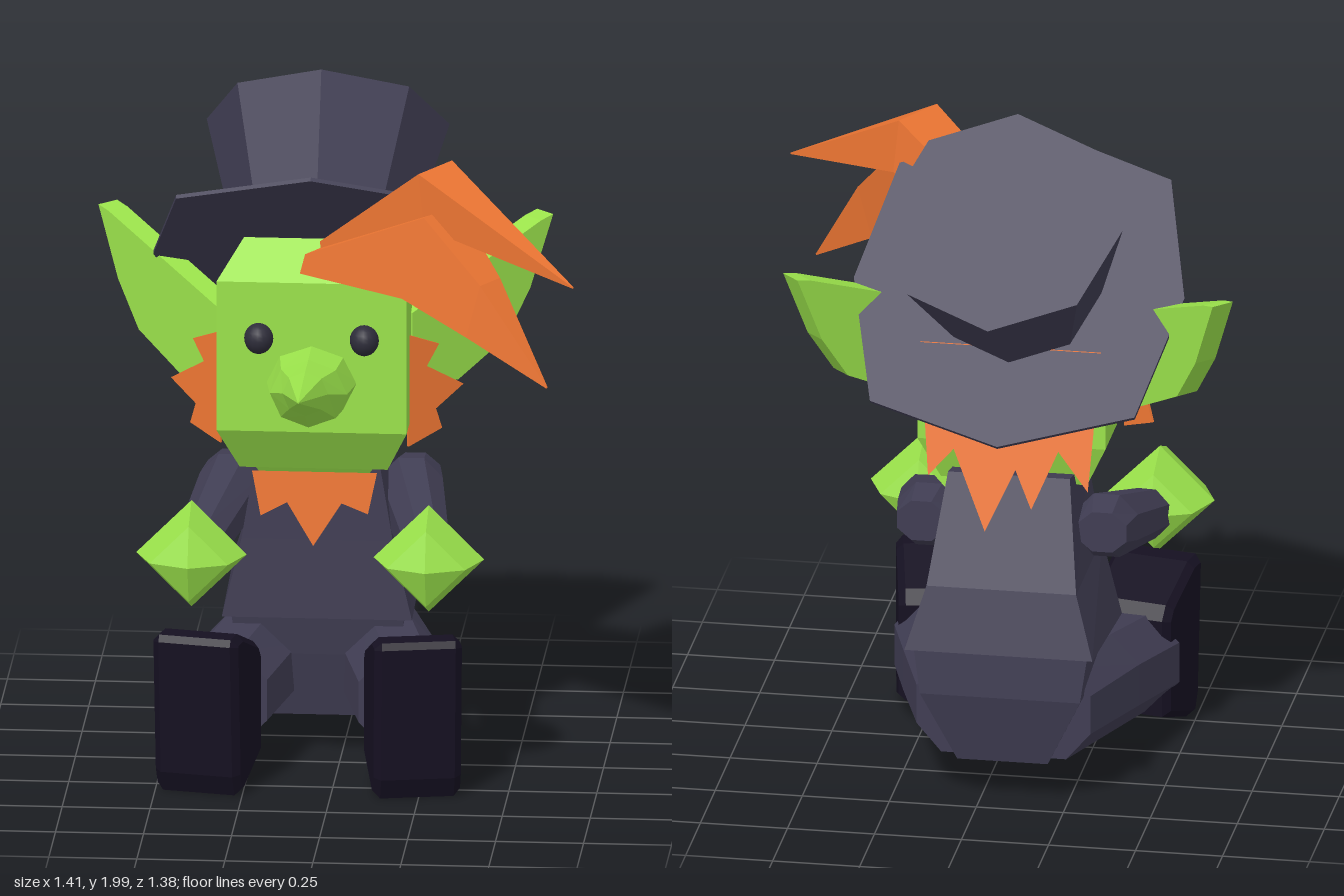
import * as THREE from 'three';

const mat = (color, side = THREE.FrontSide) => new THREE.MeshStandardMaterial({ color, side, flatShading: true });
const V = (x, y, z) => new THREE.Vector3(x, y, z);

// Skin over a list of rings that all have the same number of points, capped at both ends
function loft(rings) {
  const pos = [];
  const tri = (...ps) => ps.forEach((p) => pos.push(p.x, p.y, p.z));
  const n = rings[0].length, last = rings[rings.length - 1];
  for (let r = 0; r < rings.length - 1; r++) {
    const a = rings[r], b = rings[r + 1];
    for (let i = 0; i < n; i++) {
      const j = (i + 1) % n;
      tri(a[i], a[j], b[j]);
      tri(a[i], b[j], b[i]);
    }
  }
  for (let i = 1; i < n - 1; i++) {
    tri(rings[0][0], rings[0][i + 1], rings[0][i]);
    tri(last[0], last[i], last[i + 1]);
  }
  const g = new THREE.BufferGeometry();
  g.setAttribute('position', new THREE.Float32BufferAttribute(pos, 3));
  g.computeVertexNormals();
  return g;
}

// Four-cornered level ring: half width, front height and depth, back height and depth
const boxRing = ([hx, yf, zf, yb, zb]) => [V(hx, yf, zf), V(hx, yb, zb), V(-hx, yb, zb), V(-hx, yf, zf)];

// Eight-cornered upright ring: centre x, y, z, half width, half height, start angle
const ovalRing = (x, y, z, w, h, start = 0) => Array.from({ length: 8 }, (_, i) => {
  const a = start + (i * Math.PI) / 4;
  return V(x + Math.cos(a) * w, y + Math.sin(a) * h, z);
});

// Limb running forward, on the given side
const limb = (s, steps) => loft(steps.map(([x, y, z, w, h]) => ovalRing(s * x, y, z, w * 1.08, h * 1.08, Math.PI / 8)));

// Hair lock with a four-sided section: each step is centre x, y, z, half height, half thickness
function lock(steps, up) {
  const side = V(-0.5, 0, 0.85);
  return loft(steps.map(([x, y, z, h, t]) => [[1, 1], [-1, 1], [-1, -1], [1, -1]].map(([u, v]) =>
    V(x, y, z).addScaledVector(up, u * h).addScaledVector(side, v * t))));
}

const outline = (pts) => new THREE.Shape(pts.map(([x, y]) => new THREE.Vector2(x, y)));

// Slab of even thickness centred on its own plane
function slab(pts, depth, bevel = 0) {
  const g = new THREE.ExtrudeGeometry(outline(pts), {
    depth: depth - 2 * bevel, bevelEnabled: bevel > 0, bevelSize: bevel, bevelThickness: bevel,
    bevelOffset: -bevel, bevelSegments: 1,
  });
  return g.translate(0, 0, -depth / 2 + bevel);
}

export function createModel() {
  const root = new THREE.Group();
  const body = new THREE.Group();
  body.name = 'figure';
  body.position.x = -0.065;
  root.add(body);

  const skin = mat(0x9be34b), cloth = mat(0x403d53), boots = mat(0x151021);
  const hair = mat(0xee7633, THREE.DoubleSide);
  const eyes = new THREE.MeshStandardMaterial({ color: 0x2e2d3a });
  const add = (name, geometry, material, parent = body) => {
    const m = new THREE.Mesh(geometry, material);
    m.name = name;
    parent.add(m);
    return m;
  };

  // Trunk
  add('pelvis', loft([
    [0.13, 0.11, -0.1, 0.12, -0.44], [0.23, 0.3, -0.06, 0.33, -0.485], [0.25, 0.45, -0.04, 0.47, -0.475],
  ].map(boxRing)), cloth);
  add('coat', loft([
    [0.27, 0.42, -0.01, 0.47, -0.51], [0.215, 0.65, -0.02, 0.65, -0.46], [0.175, 0.89, -0.025, 0.95, -0.33],
  ].map(boxRing)), cloth);

  // Head, sloped at the back to sit under the hat
  add('neck', loft([[0.11, 0.8, 0.03, 0.8, -0.02], [0.18, 0.92, 0.11, 0.92, -0.22]].map(boxRing)), skin);
  add('head', loft([
    [0.21, 0.9, 0.11, 0.9, -0.245], [0.27, 1.03, 0.19, 1.03, -0.29],
    [0.27, 1.47, 0.19, 1.3, -0.29], [0.2, 1.57, 0.08, 1.46, -0.12],
  ].map(boxRing)), skin);

  // Long pointed nose
  add('nose', loft([
    [1.175, 0.17, 0.13, 0.11], [1.18, 0.31, 0.11, 0.1], [1.215, 0.43, 0.065, 0.065], [1.265, 0.69, 0.002, 0.002],
  ].map(([y, z, w, h]) => ovalRing(0, y, z, w, h))), skin);

  // Hat, tipped backwards
  const hat = new THREE.Group();
  hat.name = 'hat';
  hat.position.set(0, 1.45, -0.155);
  hat.rotation.x = -0.73;
  body.add(hat);
  add('hatBrim', slab([
    [0, -0.505], [0.39, -0.37], [0.475, 0], [0.38, 0.385], [0, 0.505], [-0.38, 0.385], [-0.475, 0], [-0.39, -0.37],
  ], 0.012).rotateX(-Math.PI / 2), cloth, hat);
  add('hatCrown', new THREE.CylinderGeometry(0.345, 0.235, 0.42, 8), cloth, hat).position.y = 0.21;

  // Swept fringe
  add('upperFringe', lock([
    [0.06, 1.53, 0.08, 0.05, 0.07], [0.36, 1.745, 0.2, 0.08, 0.085], [0.765, 1.56, 0.48, 0.002, 0.002],
  ], V(-0.1, 0.99, 0)), hair);
  add('lowerFringe', lock([
    [0.01, 1.53, 0.14, 0.03, 0.07], [0.34, 1.59, 0.25, 0.125, 0.085],
    [0.5, 1.46, 0.36, 0.08, 0.05], [0.69, 1.26, 0.47, 0.002, 0.002],
  ], V(0.25, 0.96, 0)), hair);

  // Ragged beard and back hair
  const beard = add('beard', new THREE.ShapeGeometry(outline([
    [-0.175, 0], [-0.15, -0.13], [-0.075, -0.09], [0, -0.215], [0.08, -0.09], [0.155, -0.12], [0.18, 0],
  ])), hair);
  beard.position.set(0, 0.89, 0.112);
  beard.rotation.x = -0.08;
  const back = add('backHair', new THREE.ShapeGeometry(outline([
    [-0.26, 0], [-0.24, -0.4], [-0.15, -0.29], [-0.08, -0.46], [-0.03, -0.35], [0.05, -0.53],
    [0.15, -0.3], [0.22, -0.38], [0.26, 0],
  ])), hair);
  back.position.set(0, 1.33, -0.3);
  back.rotation.x = 0.28;

  // Paired parts
  for (const s of [1, -1]) {
    const p = s > 0 ? 'left' : 'right';
    const turn = (a) => (s > 0 ? a : Math.PI - a);

    const eye = add(p + 'Eye', new THREE.SphereGeometry(0.045, 16, 12), eyes);
    eye.position.set(s * 0.15, 1.305, 0.19);
    eye.scale.x = 0.92;

    const ear = add(p + 'Ear', slab([
      [0, 1.13], [0.17, 1.11], [0.35, 1.2], [0.44, 1.33], [0.525, 1.53], [0.48, 1.52], [0, 1.34],
    ], 0.07), skin);
    ear.position.set(s * 0.25, 0, 0);
    ear.rotation.y = turn(Math.PI / 4);

    const burn = add(p + 'Sideburn', slab([
      [0, 1.29], [0.1, 1.25], [0.06, 1.19], [0.18, 1.12], [0.09, 1.06], [0.11, 1.0], [0, 0.96],
    ], 0.008), hair);
    burn.position.set(s * 0.265, 0, 0.075);
    burn.rotation.y = turn(0.6);

    add(p + 'Arm', limb(s, [
      [0.26, 0.775, -0.285, 0.07, 0.06], [0.255, 0.755, -0.18, 0.09, 0.095], [0.325, 0.67, 0.15, 0.065, 0.072],
    ]), cloth);
    // Gem-like fist pointing forward
    const hand = add(p + 'Hand', new THREE.SphereGeometry(0.157, 4, 4).rotateX(Math.PI / 2), skin);
    hand.position.set(s * 0.337, 0.68, 0.24);

    add(p + 'Leg', limb(s, [
      [0.13, 0.27, -0.42, 0.12, 0.14], [0.2, 0.25, -0.12, 0.14, 0.15], [0.27, 0.22, 0.14, 0.14, 0.145],
    ]), cloth);
    const boot = new THREE.Group();
    boot.name = p + 'Boot';
    boot.position.set(s * 0.265, 0, 0.11);
    boot.rotation.y = s * 0.2;
    body.add(boot);
    add(p + 'BootBody', slab([
      [0, 0.07], [0.19, 0], [0.225, 0], [0.25, 0.06], [0.275, 0.45], [0.265, 0.47], [0.2, 0.47], [0.03, 0.4], [0, 0.36],
    ], 0.25, 0.02), boots, boot).rotation.y = -Math.PI / 2;
  }
  return root;
}
